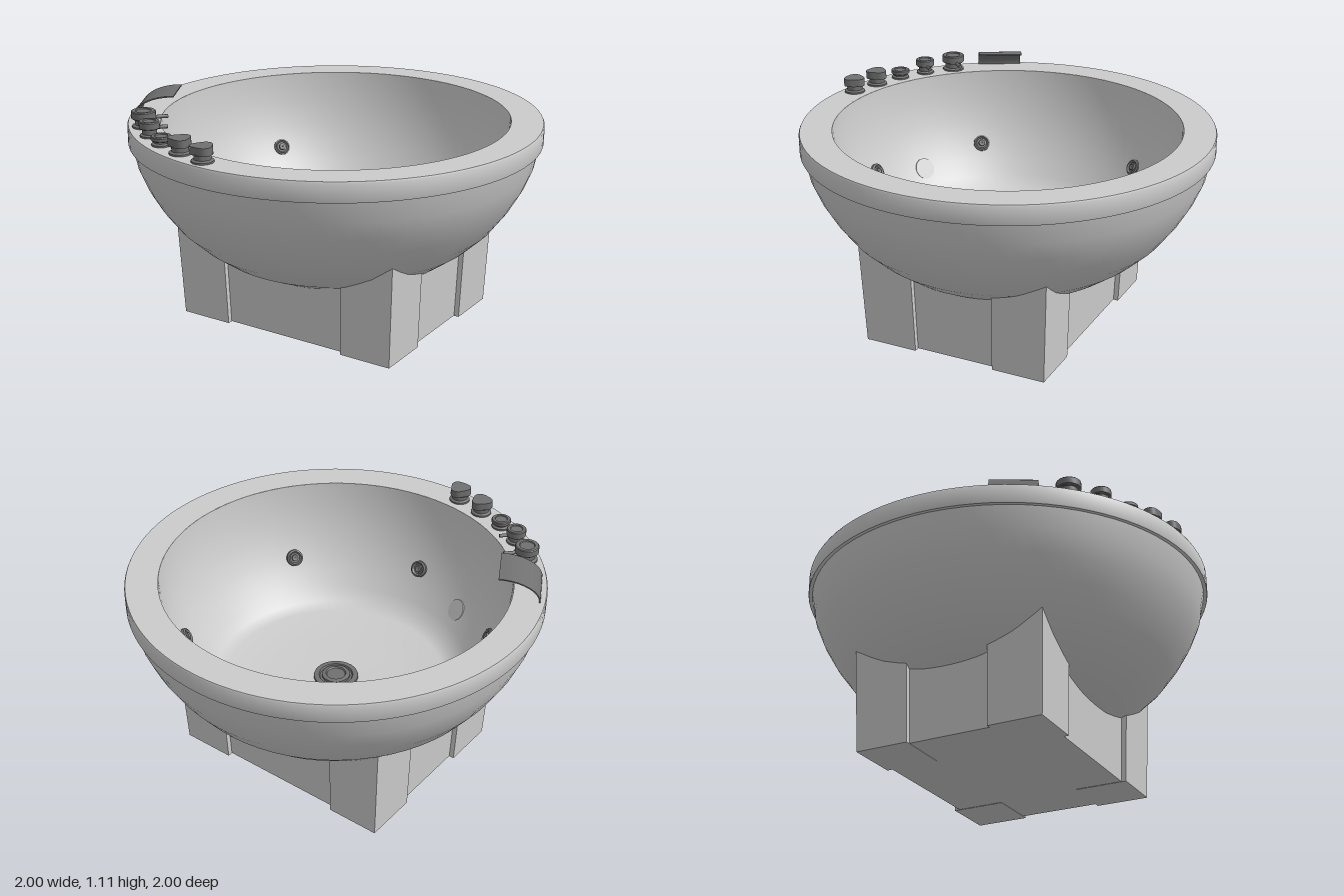
import * as THREE from 'three';
import { toCreasedNormals } from 'three/addons/utils/BufferGeometryUtils.js';

const shellMat = new THREE.MeshStandardMaterial({ color: 0xcccccc });
const baseMat = new THREE.MeshStandardMaterial({ color: 0xcccccc, flatShading: true });
const darkMat = new THREE.MeshStandardMaterial({ color: 0x707070, side: THREE.DoubleSide });

// Profiles as [radius, height]
const bowl = [[0, 0.21], [0.3, 0.235], [0.475, 0.29], [0.6, 0.352], [0.7, 0.425], [0.79, 0.51],
  [0.865, 0.61], [0.92, 0.705], [0.96, 0.8], [0.98, 0.9], [0.982, 0.91]];
const basin = [[0.843, 1], [0.838, 0.94], [0.825, 0.86], [0.8, 0.75], [0.75, 0.63], [0.7, 0.55],
  [0.65, 0.475], [0.6, 0.42], [0.54, 0.395], [0.3, 0.38], [0, 0.375]];

const vecs = (pts) => pts.map(([r, y]) => new THREE.Vector2(r, y));

function add(parent, name, geometry, material) {
  const mesh = new THREE.Mesh(geometry, material);
  mesh.name = name;
  parent.add(mesh);
  return mesh;
}

function lathe(pts, segments, crease) {
  const g = new THREE.LatheGeometry(vecs(pts), segments);
  return crease ? toCreasedNormals(g, 0.6) : g;
}

// Height of the bowl's underside at a given radius
function bowlHeight(r) {
  for (let i = 1; i < bowl.length; i++) {
    const [r0, y0] = bowl[i - 1], [r1, y1] = bowl[i];
    if (r <= r1) return y0 + (y1 - y0) * (r - r0) / (r1 - r0);
  }
  return 0.9;
}

// Tapered block whose top is scribed to the bowl
function scribedBlock(w, d, cx, cz, bottom) {
  const g = new THREE.BoxGeometry(w, 1, d, 10, 1, 10);
  const p = g.attributes.position;
  for (let i = 0; i < p.count; i++) {
    const x = p.getX(i) + cx, z = p.getZ(i) + cz;
    const y = p.getY(i) > 0 ? bowlHeight(Math.hypot(x, z) * 1.035) + 0.008 : bottom;
    const s = 1 + 0.07 * y;
    p.setXYZ(i, x * s, y, z * s);
  }
  g.computeVertexNormals();
  return g;
}

function buildBase() {
  const base = new THREE.Group();
  base.name = 'base';
  const hx = 0.473, hz = 0.593, post = 0.268, inset = 0.025;
  add(base, 'plinth', scribedBlock(2 * (hx - inset), 2 * (hz - inset), 0, 0, 0.002), baseMat);
  for (const sx of [-1, 1]) for (const sz of [-1, 1]) {
    add(base, 'cornerPost',
      scribedBlock(post, post, sx * (hx - post / 2), sz * (hz - post / 2), 0), baseMat);
  }
  base.rotation.y = 0.325;
  return base;
}

// Turned knob, optionally with a lever or a three-lobed grip
function buildKnob({ x, z, r, h, lever, lobed }) {
  const knob = new THREE.Group();
  knob.name = lobed ? 'lobedTap' : lever ? 'leverTap' : 'knob';
  const neck = h * 0.5;
  add(knob, 'stem', lathe([[r * 0.95, 0], [r * 0.95, 0.008], [r * 0.72, 0.014],
    [r * 0.72, neck], [r * 0.9, neck], [r * 0.9, neck + 0.004], [0, neck + 0.004]], 24, true), darkMat);
  if (lobed) {
    const pts = [];
    for (let i = 0; i < 36; i++) {
      const a = i / 36 * Math.PI * 2, k = r * (0.93 + 0.1 * Math.cos(3 * a));
      pts.push(new THREE.Vector2(k * Math.cos(a), k * Math.sin(a)));
    }
    const g = new THREE.ExtrudeGeometry(new THREE.Shape(pts), { depth: h - neck, bevelEnabled: false });
    g.rotateX(-Math.PI / 2).translate(0, neck, 0);
    add(knob, 'grip', toCreasedNormals(g, 0.6), darkMat).rotation.y = lobed;
  } else {
    add(knob, 'cap', lathe([[r * 0.85, neck], [r, neck + 0.005], [r, h - 0.004], [r * 0.93, h],
      [r * 0.65, h], [r * 0.6, h - 0.004], [0, h - 0.004]], 24, true), darkMat);
  }
  if (lever) {
    const g = new THREE.CylinderGeometry(0.009, 0.009, lever, 10).rotateZ(Math.PI / 2);
    add(knob, 'lever', g.translate(lever / 2, h * 0.55, 0), darkMat).rotation.y = -0.42;
  }
  knob.position.set(x, 1, z);
  return knob;
}

// Curved headrest sheet rising from the rim and arching inward
function buildHeadrest() {
  const shape = new THREE.Shape();
  const n = 14, arc = (i, a, b) => {
    const t = i / n * Math.PI / 2;
    return [0.2 - a * Math.cos(t), b * Math.sin(t)];
  };
  shape.moveTo(...arc(0, 0.2, 0.112));
  for (let i = 1; i <= n; i++) shape.lineTo(...arc(i, 0.2, 0.112));
  for (let i = n; i >= 0; i--) shape.lineTo(...arc(i, 0.194, 0.106));
  const g = new THREE.ExtrudeGeometry(shape, { depth: 0.225, bevelEnabled: false });
  g.translate(0, 0, -0.1125);
  const rest = new THREE.Mesh(toCreasedNormals(g, 0.6), darkMat);
  rest.name = 'headrest';
  rest.position.set(-0.715, 1, -0.655);
  rest.rotation.y = -Math.atan2(0.68, 0.73);
  return rest;
}

// Sets a part on the basin wall, its axis pointing into the tub
function mountOnWall(obj, x, y, z) {
  const n = new THREE.Vector3(-x, 0, -z).normalize().setY(0.55).normalize();
  obj.position.set(x, y, z);
  obj.quaternion.setFromUnitVectors(new THREE.Vector3(0, 1, 0), n);
}

export function createModel() {
  const tub = new THREE.Group();
  tub.name = 'roundTub';

  // Shell
  add(tub, 'bowl', lathe(bowl, 72), shellMat);
  add(tub, 'rim', lathe([[0.97, 0.905], [0.998, 0.905], [1, 0.91], [1, 0.992], [0.996, 1], [0.843, 1]],
    96, true), shellMat);
  add(tub, 'basin', lathe(basin, 72), shellMat);
  tub.add(buildBase());

  // Drain
  add(tub, 'drain', lathe([[0.112, 0.375], [0.11, 0.386], [0.085, 0.388], [0.08, 0.38], [0.07, 0.38],
    [0.07, 0.392], [0.05, 0.396], [0.045, 0.39], [0, 0.39]], 32, true), darkMat);

  // Water jets
  const jets = [[0.2, -0.72], [-0.615, -0.42], [-0.695, 0.25], [-0.21, 0.705], [0.61, 0.405]];
  for (const [x, z] of jets) {
    const jet = add(tub, 'jet', lathe([[0.044, -0.008], [0.043, 0.008], [0.034, 0.013], [0.026, 0.004],
      [0.018, 0.004], [0.016, 0.014], [0.008, 0.014], [0, 0.008]], 20, true), darkMat);
    mountOnWall(jet, x, 0.625, z);
  }

  // Overflow cover
  const cover = add(tub, 'overflowCover', toCreasedNormals(
    new THREE.CylinderGeometry(0.055, 0.055, 0.014, 28), 0.6), shellMat);
  mountOnWall(cover, -0.697, 0.55, -0.075);

  // Rim fittings
  [
    { x: -0.825, z: -0.415, r: 0.058, h: 0.08, lever: 0.115 },
    { x: -0.885, z: -0.265, r: 0.048, h: 0.075, lever: 0.085 },
    { x: -0.915, z: -0.115, r: 0.048, h: 0.045 },
    { x: -0.917, z: 0.045, r: 0.054, h: 0.075, lobed: 0.1 },
    { x: -0.905, z: 0.205, r: 0.054, h: 0.075, lobed: 0.3 },
  ].forEach((k) => tub.add(buildKnob(k)));
  tub.add(buildHeadrest());

  return tub;
}
